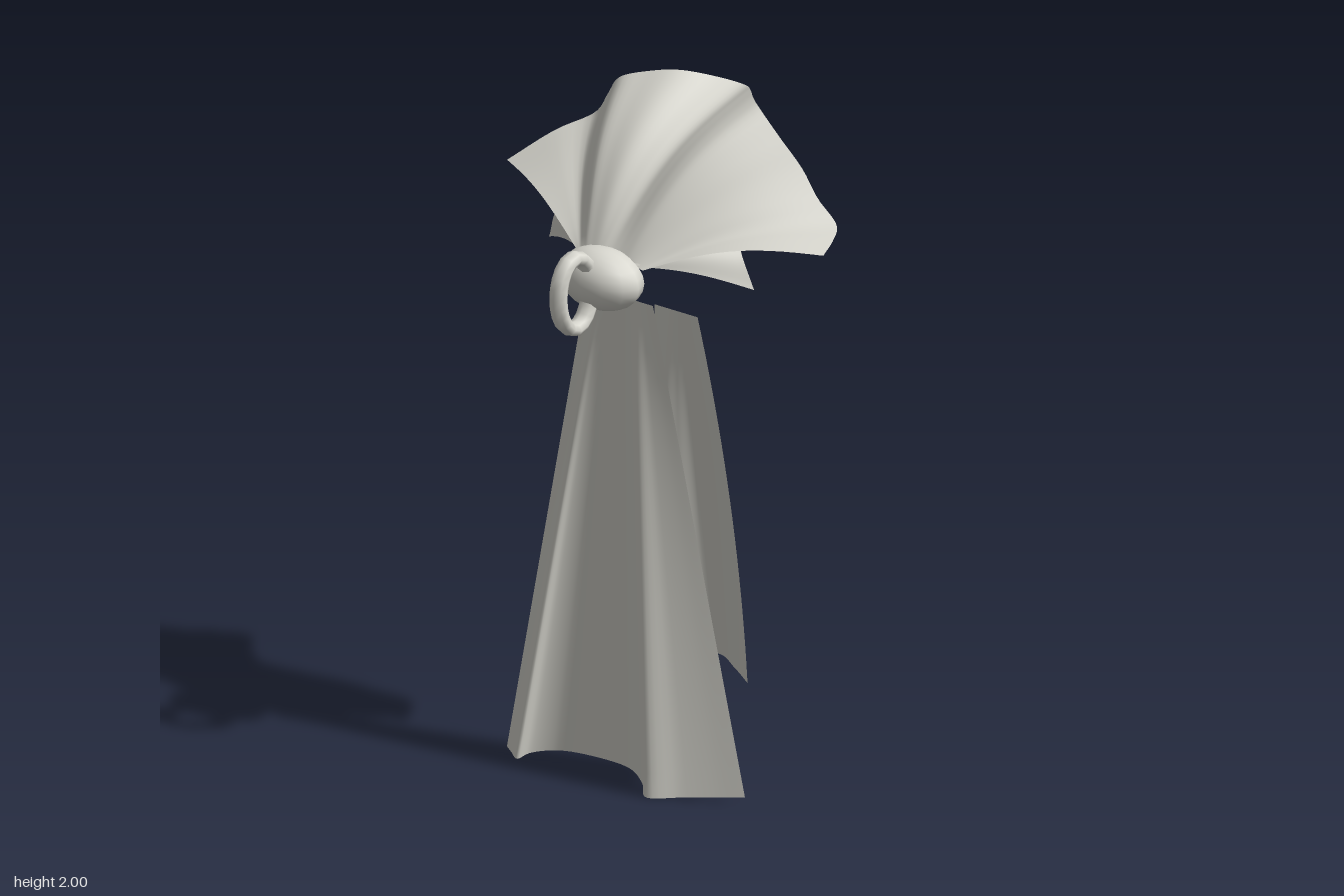
import * as THREE from 'three';

const V = (p) => new THREE.Vector3(...p);
const curve = (pts, closed = false) => new THREE.CatmullRomCurve3(pts.map(V), closed, 'centripetal');

// Open cloth surface: f(u, v) gives [x, y, z]; u runs across, v along the cloth
function sheet(nu, nv, f) {
  const pos = [], index = [];
  for (let j = 0; j <= nv; j++)
    for (let i = 0; i <= nu; i++) pos.push(...f(i / nu, j / nv));
  for (let j = 0; j < nv; j++)
    for (let i = 0; i < nu; i++) {
      const a = j * (nu + 1) + i, b = a + nu + 1;
      index.push(a, b, a + 1, a + 1, b, b + 1);
    }
  const g = new THREE.BufferGeometry();
  g.setAttribute('position', new THREE.Float32BufferAttribute(pos, 3));
  g.setIndex(index);
  g.computeVertexNormals();
  return g;
}

// Fan of cloth spreading from the knot to a wavy rim, bulging between
function fan(rim, spread, bulge) {
  const edge = curve(rim);
  return sheet(72, 14, (u, v) => {
    const r = edge.getPoint(u), s = Math.min(1, Math.abs(r.x) / 0.58);
    const base = [Math.sin((u - 0.5) * Math.PI) * spread, 1.57 + 0.02 * (1 - s), 0.13];
    const b = Math.sin(v * Math.PI) * bulge;
    return [
      base[0] + (r.x - base[0]) * v,
      base[1] + (r.y - base[1]) * v + b * (1 - 0.25 * s),
      base[2] + (r.z - base[2]) * v + b * (0.75 - 0.55 * s),
    ];
  });
}

// Hanging cloth whose folds deepen from a flat top to the hem section [x, y, z]
function tail(hem, x0, x1, yTop, zTop, ease) {
  const edge = curve(hem);
  return sheet(60, 20, (u, v) => {
    const h = edge.getPoint(u), top = x0 + (x1 - x0) * u;
    return [top + (h.x - top) * ease(u, v), yTop + (h.y - yTop) * v, zTop + (h.z - zTop) * v];
  });
}

export function createModel() {
  const model = new THREE.Group();
  const cloth = new THREE.MeshStandardMaterial({ color: 0xd9d8d0, side: THREE.DoubleSide });
  cloth.name = 'pale cloth';
  const add = (name, geometry) => {
    const m = new THREE.Mesh(geometry, cloth);
    m.name = name;
    model.add(m);
    return m;
  };

  // Large upper fan
  add('upperFan', fan([
    [-0.585, 1.665, -0.1], [-0.51, 1.74, -0.22], [-0.43, 1.79, -0.295], [-0.36, 1.87, -0.27],
    [-0.28, 1.95, -0.23], [-0.2, 1.98, -0.25], [-0.1, 2.0, -0.28], [0, 1.98, -0.35],
    [0.06, 1.97, -0.37], [0.12, 1.983, -0.325], [0.19, 1.99, -0.26], [0.24, 1.98, -0.23],
    [0.31, 1.91, -0.235], [0.38, 1.83, -0.25], [0.44, 1.76, -0.245], [0.515, 1.7, -0.24],
    [0.555, 1.68, -0.18], [0.58, 1.66, -0.11],
  ], 0.12, 0.05));

  // Smaller fan beneath it
  add('lowerFan', fan([
    [-0.385, 1.5, -0.05], [-0.34, 1.6, -0.04], [-0.27, 1.65, -0.1], [-0.17, 1.75, -0.14],
    [-0.08, 1.77, -0.16], [0.03, 1.77, -0.19], [0.13, 1.72, -0.14], [0.24, 1.68, -0.12],
    [0.33, 1.62, -0.05], [0.385, 1.53, -0.04],
  ], 0.1, 0.02));

  // Long front tail
  add('frontTail', tail([
    [-0.44, 0.005, 0.065], [-0.4, 0.002, 0.09], [-0.36, 0, 0.113], [-0.35, 0.008, 0.07],
    [-0.29, 0.018, 0.025], [-0.17, 0.025, 0.008], [-0.03, 0.022, 0.01], [0.06, 0.01, 0.06],
    [0.115, 0, 0.11], [0.2, 0.005, 0.055], [0.28, 0.012, 0.01], [0.36, 0.02, -0.03],
  ], -0.095, 0.15, 1.47, 0.12, (u, v) => v));

  // Shorter back tail, with curved side edges
  add('backTail', tail([
    [-0.12, 0.36, -0.025], [-0.05, 0.36, -0.02], [0.02, 0.36, -0.02], [0.1, 0.37, -0.07],
    [0.18, 0.38, -0.12], [0.28, 0.37, -0.08], [0.365, 0.36, -0.035],
  ], 0.09, 0.25, 1.44, 0.045,
  (u, v) => (1 - u) * v ** 1.5 + u * (1 - (1 - v) ** 2)));

  // Knot gathering the cloth
  const knot = add('knot', new THREE.SphereGeometry(1, 12, 12));
  knot.scale.set(0.14, 0.09, 0.09);
  knot.position.set(0, 1.53, 0.168);

  // Upright oval ring at the front of the knot
  const oval = Array.from({ length: 12 }, (_, i) => {
    const a = (i / 12) * Math.PI * 2;
    return [0, Math.sin(a) * 0.105, Math.cos(a) * 0.067];
  });
  const ring = add('ring', new THREE.TubeGeometry(curve(oval, true), 20, 0.021, 8, true));
  ring.scale.x = 1.4;
  ring.position.set(0, 1.515, 0.281);

  return model;
}
